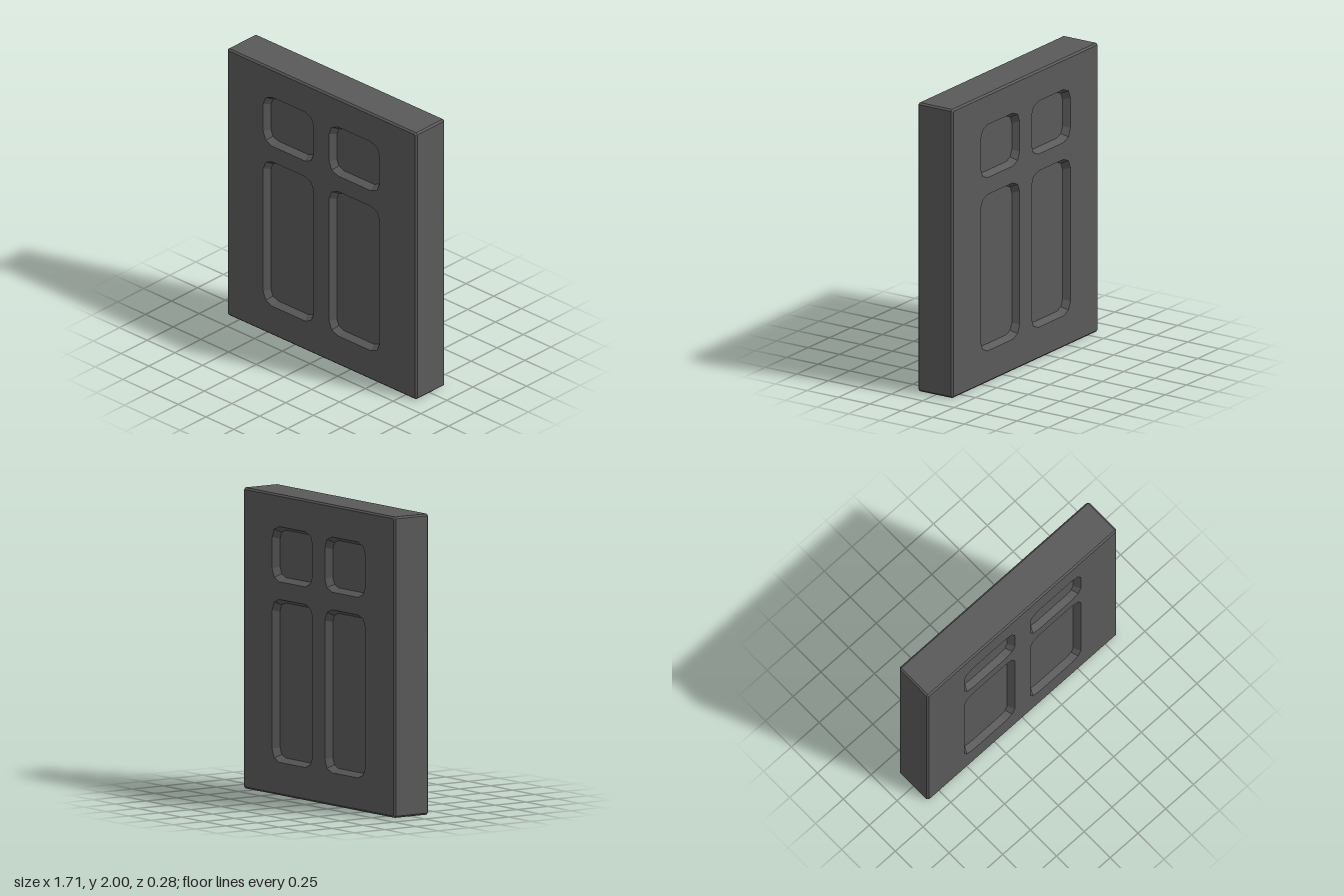
import * as THREE from 'three';

const HALF_DEPTH = 0.14, BEVEL = 0.012, RECESS = 0.045, INSET = 0.026;

// Counter-clockwise rectangle with corners of radius r cut into n segments
function outline(x0, y0, x1, y1, r, n) {
  const centres = [[x1 - r, y0 + r], [x1 - r, y1 - r], [x0 + r, y1 - r], [x0 + r, y0 + r]];
  const points = [];
  centres.forEach(([cx, cy], k) => {
    for (let i = 0; i <= n; i++) {
      const a = (k - 1 + i / n) * Math.PI / 2;
      points.push(new THREE.Vector2(cx + r * Math.cos(a), cy + r * Math.sin(a)));
    }
  });
  return points;
}

// Flat-shaded band through a list of [outline, z] rings
function loft(rings) {
  const pos = [];
  for (let k = 0; k < rings.length - 1; k++) {
    const [a, za] = rings[k], [b, zb] = rings[k + 1];
    for (let i = 0; i < a.length; i++) {
      const j = (i + 1) % a.length;
      const p = [a[i].x, a[i].y, za], q = [a[j].x, a[j].y, za];
      const r = [b[j].x, b[j].y, zb], s = [b[i].x, b[i].y, zb];
      pos.push(...p, ...q, ...r, ...p, ...r, ...s);
    }
  }
  const geometry = new THREE.BufferGeometry();
  geometry.setAttribute('position', new THREE.Float32BufferAttribute(pos, 3));
  geometry.computeVertexNormals();
  return geometry;
}

export function createModel() {
  const model = new THREE.Group();
  model.name = 'panelDoor';
  const paint = new THREE.MeshStandardMaterial({ color: 0x5a5a5a });
  paint.name = 'darkGrey';

  const add = (parent, name, geometry, z = 0) => {
    const mesh = new THREE.Mesh(geometry, paint);
    mesh.name = name;
    mesh.position.z = z;
    parent.add(mesh);
  };

  // Bevelled edge all round the slab
  const slab = outline(-0.855, 0, 0.855, 2, BEVEL, 1);
  const face = outline(-0.855 + BEVEL, BEVEL, 0.855 - BEVEL, 2 - BEVEL, BEVEL / 3, 1);
  add(model, 'slabEdge', loft([
    [face, -HALF_DEPTH], [slab, -HALF_DEPTH + BEVEL],
    [slab, HALF_DEPTH - BEVEL], [face, HALF_DEPTH],
  ]));

  // Two tall lower panels and two short upper panels, mirrored about the middle
  const panels = [];
  for (const [y0, y1] of [[0.22, 1.303], [1.42, 1.787]]) {
    panels.push([0.07, y0, 0.525, y1], [-0.525, y0, -0.07, y1]);
  }

  // Same face on the front and the back
  for (const [side, turn] of [['front', 0], ['back', Math.PI]]) {
    const group = new THREE.Group();
    group.name = side + 'Side';
    group.rotation.y = turn;
    const shape = new THREE.Shape(face);
    for (const [x0, y0, x1, y1] of panels) {
      const rim = outline(x0, y0, x1, y1, 0.08, 2);
      const floor = outline(x0 + INSET, y0 + INSET, x1 - INSET, y1 - INSET, 0.065, 2);
      shape.holes.push(new THREE.Path(rim));
      add(group, 'panelSlope', loft([[rim, HALF_DEPTH], [floor, HALF_DEPTH - RECESS]]));
      add(group, 'panelFloor', new THREE.ShapeGeometry(new THREE.Shape(floor)), HALF_DEPTH - RECESS);
    }
    add(group, 'faceFrame', new THREE.ShapeGeometry(shape), HALF_DEPTH);
    model.add(group);
  }
  return model;
}
